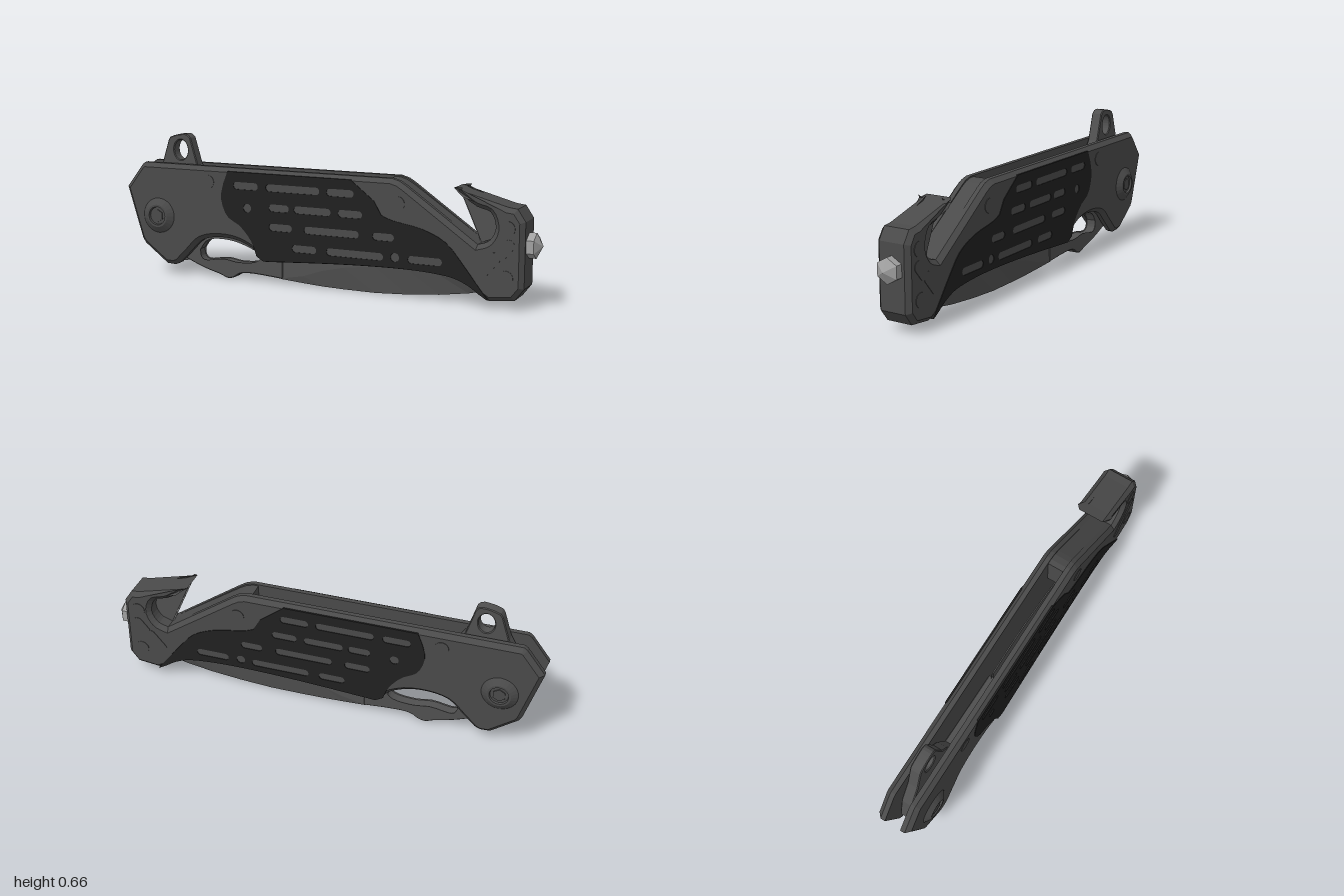
import * as THREE from 'three';

const mat = (name, color, side = THREE.FrontSide) => {
  const m = new THREE.MeshStandardMaterial({ color, side });
  m.name = name;
  return m;
};
const V = (pts) => pts.map(([x, y]) => new THREE.Vector2(x, y));
// Points of a smooth curve through a few guides
const curve = (pts, n) => new THREE.SplineCurve(V(pts)).getPoints(n);

// Bottom edge of the handle, front to back
const bottomEdge = curve([[0.79, 0.036], [0.75, 0.06], [0.69, 0.098], [0.6, 0.125], [0.4, 0.137], [0.1, 0.13], [-0.27, 0.108]], 30);
// Hook outline from the notch to the lower rear corner
const hookEdge = [
  ...curve([[0.735, 0.275], [0.785, 0.295], [0.812, 0.35], [0.79, 0.415], [0.72, 0.44], [0.625, 0.508]], 18),
  ...V([[0.68, 0.492], [0.865, 0.442], [0.905, 0.437], [0.94, 0.385], [0.94, 0.1], [0.9, 0.048]]),
];
const backTop = V([[0.345, 0.53], [0.38, 0.52], [0.41, 0.502]]);

function capsule(x0, x1, y, r, Type = THREE.Path) {
  const p = new Type();
  p.absarc(x1 - r, y, r, -Math.PI / 2, Math.PI / 2);
  p.absarc(x0 + r, y, r, Math.PI / 2, Math.PI * 1.5);
  p.closePath();
  return p;
}

export function createModel() {
  const root = new THREE.Group();
  root.name = 'foldingRescueKnife';
  const handleMat = mat('handle grey', 0x4a4a4a);
  const gripMat = mat('grip black', 0x202020);
  const bladeMat = mat('blade grey', 0x505050, THREE.DoubleSide);
  const steelMat = mat('bright steel', 0xa0a0a0);

  const add = (name, geo, material, parent = root) => {
    const m = new THREE.Mesh(geo, material);
    m.name = name;
    parent.add(m);
    return m;
  };
  // Flat plate between two depths, optionally chamfered inside its outline
  const plate = (shape, z0, z1, bevel = 0) => {
    const depth = z1 - z0 - 2 * bevel;
    const g = new THREE.ExtrudeGeometry(shape, {
      depth, curveSegments: 12, bevelEnabled: bevel > 0, bevelSize: bevel,
      bevelThickness: bevel, bevelOffset: -bevel, bevelSegments: 1,
    });
    return g.translate(0, 0, z0 + bevel);
  };

  // Handle side outline
  const scaleShape = new THREE.Shape([
    ...V([[-1, 0.41], [-0.915, 0.52], [-0.9, 0.53]]), ...backTop, ...hookEdge, ...bottomEdge,
    ...curve([[-0.295, 0.125], [-0.335, 0.165], [-0.42, 0.198], [-0.52, 0.203], [-0.6, 0.182], [-0.65, 0.135]], 14),
    ...V([[-0.72, 0.065], [-0.745, 0.054], [-0.79, 0.056], [-0.91, 0.145], [-0.925, 0.17]]),
  ]);

  // Grip inlay with slots
  const gripShape = new THREE.Shape([
    ...V([[-0.45, 0.515], [0.16, 0.515], [0.27, 0.43]]),
    ...curve([[0.305, 0.37], [0.36, 0.35], [0.49, 0.325], [0.6, 0.275], [0.68, 0.185], [0.735, 0.115], [0.79, 0.045]], 18),
    ...bottomEdge.slice(1).map((p) => new THREE.Vector2(p.x, p.y + 0.006)),
    ...curve([[-0.305, 0.135], [-0.33, 0.2], [-0.385, 0.265], [-0.455, 0.31], [-0.485, 0.39], [-0.472, 0.46]], 14),
  ]);
  const slots = [
    [0.453, [[-0.42, -0.295], [-0.255, 0.01], [0.045, 0.175]]],
    [0.363, [[-0.24, -0.14], [-0.115, 0.065], [0.1, 0.215]]],
    [0.275, [[-0.24, -0.125], [-0.065, 0.2], [0.265, 0.365]]],
    [0.187, [[-0.125, -0.005], [0.045, 0.315], [0.43, 0.585]]],
  ];
  for (const [y, row] of slots) for (const [a, b] of row) gripShape.holes.push(capsule(a, b, y, 0.0165));
  for (const [x, y] of [[-0.35, 0.353], [0.37, 0.19]]) {
    gripShape.holes.push(new THREE.Path().absarc(x, y, 0.02, 0, Math.PI * 2));
  }

  for (const s of [1, -1]) {
    const side = new THREE.Group();
    side.name = s > 0 ? 'frontHandleSide' : 'backHandleSide';
    root.add(side);
    const slab = (shape, a, b, bevel) => plate(shape, Math.min(s * a, s * b), Math.max(s * a, s * b), bevel);
    add('handleScaleBase', slab(scaleShape, 0.038, 0.06), handleMat, side);
    add('handleScaleFace', slab(scaleShape, 0.039, 0.08, 0.02), handleMat, side);
    add('gripInlay', slab(gripShape, 0.062, 0.083), gripMat, side);

    // Small screws and raised marks by the hook
    for (const [x, y] of [[-0.555, 0.46], [0.38, 0.425], [0.87, 0.355], [0.865, 0.145]]) {
      const c = new THREE.CylinderGeometry(0.032, 0.032, 0.006, 24).rotateX(Math.PI / 2);
      add('screw', c.translate(x, y, s * 0.0795), handleMat, side);
    }
    for (const [x, y, len, angle] of [[0.79, 0.195, 0.13, 0.87], [0.86, 0.265, 0.1, 0.87]]) {
      const g = slab(capsule(-len / 2, len / 2, 0, 0.025, THREE.Shape), 0.077, 0.0825);
      add('raisedMark', g.rotateZ(angle).translate(x, y, 0), handleMat, side);
    }

    // Pivot bolt with a recessed centre
    const profile = V([[0.083, 0], [0.078, 0.004], [0.053, 0.021], [0.043, 0.021], [0.04, 0.012], [0, 0.012]]);
    const bolt = new THREE.LatheGeometry(profile, 24).toNonIndexed();
    bolt.computeVertexNormals();
    bolt.rotateX(s * Math.PI / 2).translate(-0.82, 0.285, s * 0.079);
    add('pivotBolt', bolt, handleMat, side);
    const drive = new THREE.CylinderGeometry(0.03, 0.03, 0.006, 6).rotateX(Math.PI / 2);
    add('pivotDrive', drive.translate(-0.82, 0.285, s * 0.093), handleMat, side);
  }

  // Solid spacer joining the sides at the rear, forming the hook core
  const spacer = new THREE.Shape([
    ...V([[0.32, 0.524], [0.345, 0.524], [0.378, 0.514], [0.408, 0.497]]), ...hookEdge,
    ...V([[0.89, 0.048], [0.79, 0.046], [0.77, 0.12], [0.7, 0.19], [0.32, 0.36]]),
  ]);
  add('rearSpacer', plate(spacer, -0.039, 0.039), handleMat);

  // Strap cutter set across the hook
  const cutter = new THREE.Shape(V([[0.635, 0.5], [0.735, 0.275], [0.8, 0.3], [0.83, 0.36], [0.8, 0.43]]));
  add('strapCutter', plate(cutter, -0.01, 0.01), bladeMat);
  const edge = new THREE.Shape(V([[0.63, 0.5], [0.73, 0.275], [0.738, 0.275], [0.638, 0.5]]));
  add('strapCutterEdge', plate(edge, -0.004, 0.004), steelMat);

  // Tang with flipper tab and finger ring
  const tang = new THREE.Shape([
    ...V([[-0.92, 0.28], [-0.89, 0.42], [-0.83, 0.525], [-0.795, 0.635]]),
    ...curve([[-0.785, 0.65], [-0.75, 0.662], [-0.7, 0.667], [-0.677, 0.65]], 8),
    ...V([[-0.64, 0.525], [-0.61, 0.48], [-0.56, 0.34], [-0.2, 0.32], [-0.2, 0.027]]),
    ...curve([[-0.3, 0.035], [-0.38, 0.038], [-0.425, 0.03], [-0.455, 0.011], [-0.49, 0.005], [-0.53, 0.02], [-0.62, 0.045], [-0.72, 0.085]], 20),
    ...V([[-0.85, 0.16]]),
  ]);
  tang.holes.push(
    new THREE.Path().absellipse(-0.728, 0.592, 0.036, 0.047, 0, Math.PI * 2),
    new THREE.Path(curve([[-0.635, 0.13], [-0.6, 0.175], [-0.54, 0.191], [-0.44, 0.184], [-0.33, 0.145], [-0.308, 0.115],
      [-0.345, 0.088], [-0.43, 0.08], [-0.51, 0.09], [-0.6, 0.077], [-0.63, 0.095], [-0.635, 0.13]], 36)),
  );
  add('bladeTang', plate(tang, -0.026, 0.026, 0.004), bladeMat);

  // Blade lofted from sections: x, spine y, ridge y, edge y, spine half thickness
  const sections = [
    [-0.21, 0.027, 0.03, 0.4, 0.024], [-0.1, 0.017, 0.05, 0.41, 0.018], [0, 0.01, 0.085, 0.41, 0.014],
    [0.1, 0.007, 0.108, 0.4, 0.012], [0.25, 0.006, 0.128, 0.37, 0.011], [0.4, 0.014, 0.13, 0.32, 0.01],
    [0.55, 0.028, 0.12, 0.25, 0.009], [0.68, 0.047, 0.1, 0.17, 0.007], [0.78, 0.07, 0.075, 0.085, 0.003],
  ];
  const rings = sections.map(([x, b, g, e, t], i) => {
    const w = i === sections.length - 1 ? 0.003 : 0.024;
    const half = [[b, t], [g, w], [g + (e - g) * 0.4, w * 0.8], [e, 0.003]];
    return [...half, ...half.slice().reverse().map(([y, z]) => [y, -z])].map(([y, z]) => [x, y, z]);
  });
  const pos = [];
  for (let i = 0; i < rings.length - 1; i++) {
    for (let j = 0; j < 8; j++) {
      const k = (j + 1) % 8, A = rings[i], B = rings[i + 1];
      pos.push(...A[j], ...B[j], ...A[k], ...B[j], ...B[k], ...A[k]);
    }
  }
  const blade = new THREE.BufferGeometry();
  blade.setAttribute('position', new THREE.Float32BufferAttribute(pos, 3));
  blade.computeVertexNormals();
  add('blade', blade, bladeMat);

  // Hexagonal glass breaker
  const hex = (top, h, x) => {
    const g = new THREE.CylinderGeometry(top, 0.055, h, 6).toNonIndexed();
    g.computeVertexNormals();
    return g.rotateY(Math.PI / 2).rotateZ(-Math.PI / 2).translate(x + h / 2, 0.278, 0);
  };
  add('glassBreakerBase', hex(0.055, 0.037, 0.935), steelMat);
  add('glassBreakerTip', hex(0.001, 0.028, 0.972), steelMat);

  return root;
}
